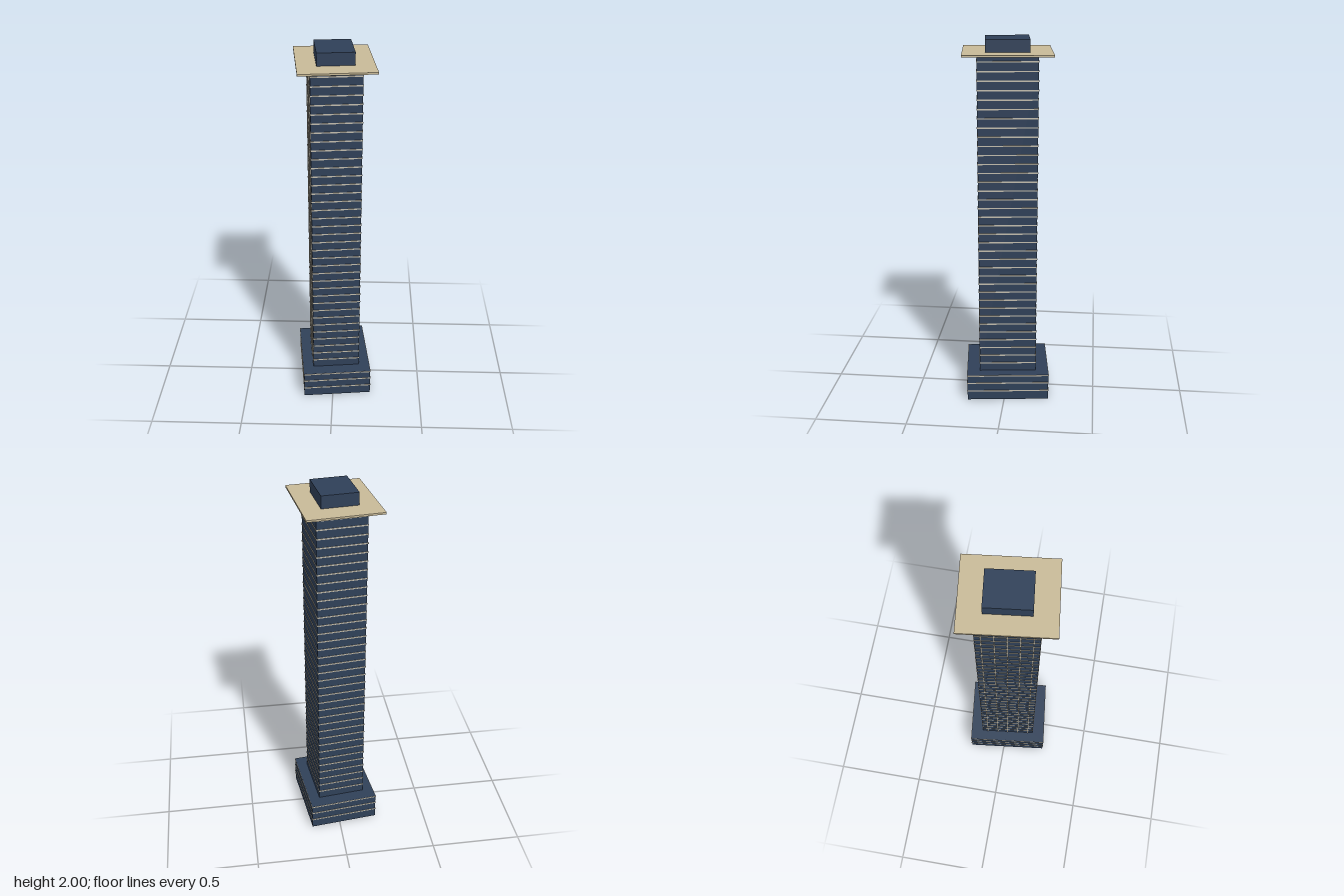
import * as THREE from 'three';

export function createModel() {
  const model = new THREE.Group();
  model.name = 'tower';
  model.rotation.y = 0.115;

  const glass = new THREE.MeshStandardMaterial({ color: 0x2f4058 });
  const stone = new THREE.MeshStandardMaterial({ color: 0xc8ba98 });
  const trim = new THREE.MeshStandardMaterial({ color: 0xc4beae });

  // Box standing on y0 and reaching y1
  function block(name, w, d, y0, y1, material, x = 0, z = 0) {
    const mesh = new THREE.Mesh(new THREE.BoxGeometry(w, y1 - y0, d), material);
    mesh.position.set(x, (y0 + y1) / 2, z);
    mesh.name = name;
    model.add(mesh);
  }

  const base = { w: 0.38, d: 0.455, top: 0.152 };
  const shaft = { w: 0.262, d: 0.315, top: 1.924 };

  // Main volumes
  block('podium', base.w, base.d, 0, base.top, glass);
  block('shaft', shaft.w, shaft.d, base.top, shaft.top, glass);
  block('roofSlab', 0.393, 0.466, shaft.top, 1.934, stone);
  block('penthouse', 0.192, 0.23, 1.934, 2, glass);

  // Floor bands, three on the podium and the rest on the shaft
  const floor = 0.0484, lip = 0.005;
  for (let k = 1; k <= 39; k++) {
    const part = k <= 3 ? base : shaft;
    const y = k === 3 ? 0.148 : 0.0055 + k * floor;
    block('floorBand', part.w + lip, part.d + lip, y - 0.0033, y + 0.0033, trim);
  }

  // Vertical mullions on one side of the shaft
  const count = 5;
  for (let i = 0; i < count; i++) {
    const z = ((i + 0.5) / count - 0.5) * shaft.d;
    block('mullion', 0.006, 0.006, base.top, shaft.top, trim, -shaft.w / 2, z);
  }

  const group = new THREE.Group();
  group.name = 'skyscraper';
  group.add(model);
  return group;
}
